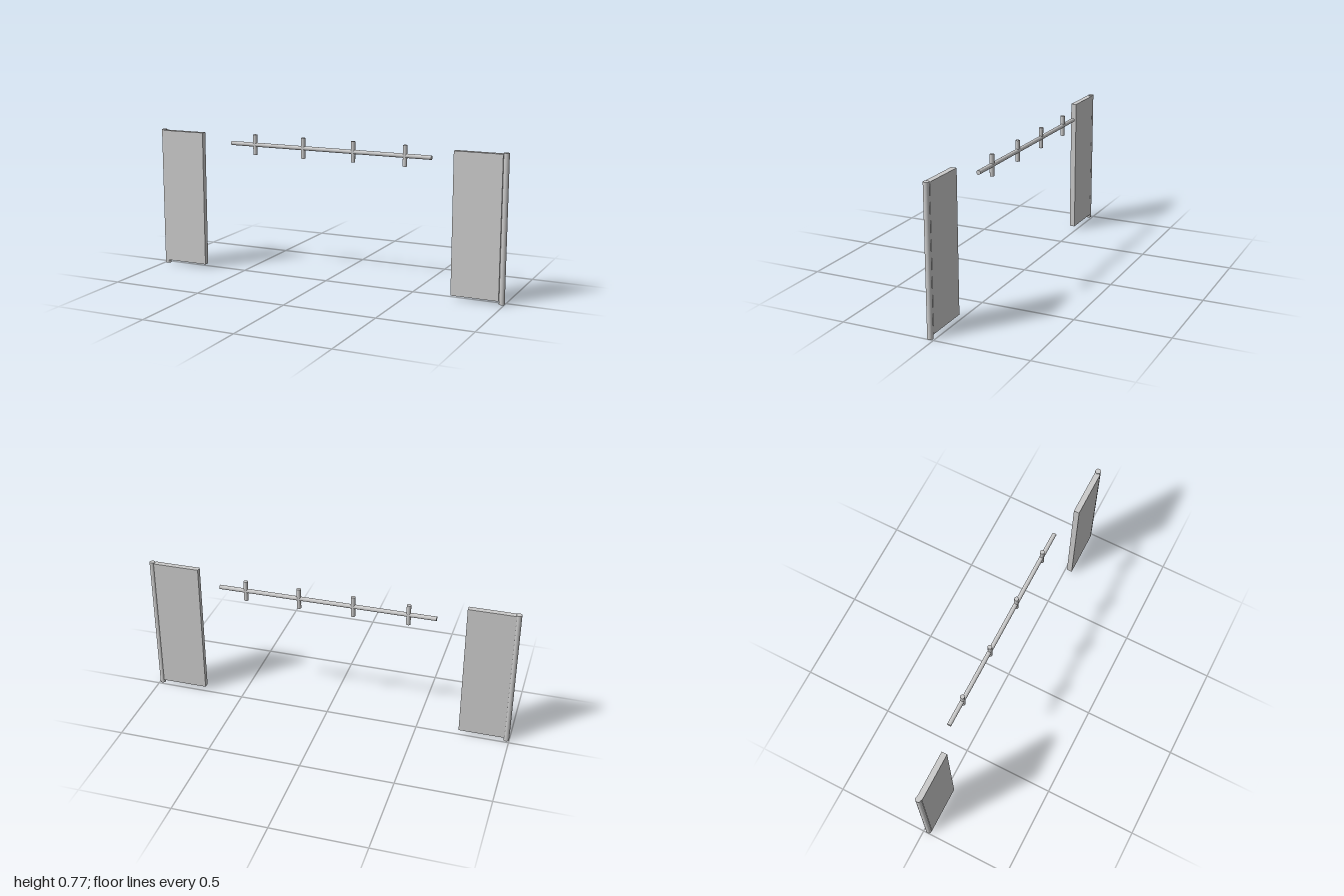
import * as THREE from 'three';

export function createModel() {
  const group = new THREE.Group();
  const material = new THREE.MeshStandardMaterial({ color: 0xcccccc });

  const add = (name, geometry, x, y, z) => {
    const mesh = new THREE.Mesh(geometry, material);
    mesh.name = name;
    mesh.position.set(x, y, z);
    group.add(mesh);
    return mesh;
  };
  const cylinder = (radius, length) => new THREE.CylinderGeometry(radius, radius, length, 32);

  // Two door leaves, each hung on a round hinge post at its outer edge
  const doors = [
    { side: 'right', post: -0.985, from: -0.982, to: -0.729 },
    { side: 'left', post: 0.985, from: 0.72, to: 0.973 },
  ];
  for (const { side, post, from, to } of doors) {
    add(`${side}DoorPanel`, new THREE.BoxGeometry(to - from, 0.745, 0.03), (from + to) / 2, 0.391, 0.027);
    add(`${side}HingePost`, cylinder(0.015, 0.768), post, 0.384, 0.024);
  }

  // Horizontal rod between the doors
  const rodX = -0.002, rodY = 0.708, rodZ = -0.029;
  add('crossRod', cylinder(0.0112, 1.163), rodX, rodY, rodZ).rotation.z = Math.PI / 2;

  // Four upright pegs, evenly spaced through the rod
  for (let i = 0; i < 4; i++) {
    add(`peg${i + 1}`, cylinder(0.0115, 0.111), rodX + (i - 1.5) * 0.291, rodY, rodZ);
  }

  return group;
}
